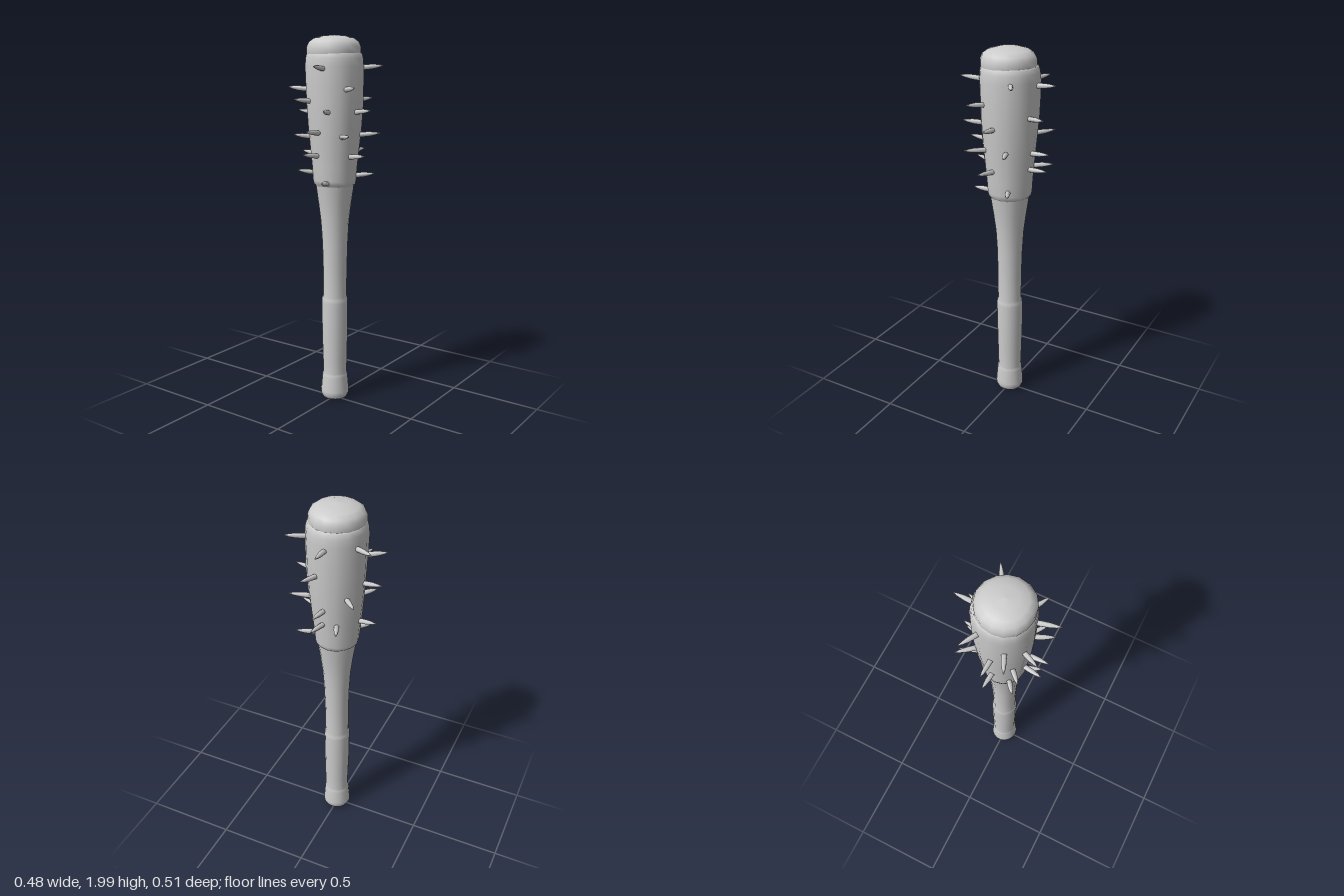
import * as THREE from 'three';

const wood = new THREE.MeshStandardMaterial({ color: 0xcccccc });
wood.name = 'plain grey';

const CX = 0.002, CZ = -0.005; // axis of the club

const lathe = (pairs, sides) =>
  new THREE.LatheGeometry(pairs.map(([r, y]) => new THREE.Vector2(r, y)), sides);

function part(name, geometry) {
  const mesh = new THREE.Mesh(geometry, wood);
  mesh.name = name;
  return mesh;
}

// Slightly uneven, hand-carved surface
function carve(geometry, amount) {
  const p = geometry.attributes.position;
  for (let i = 0; i < p.count; i++) {
    const x = p.getX(i), y = p.getY(i), z = p.getZ(i);
    const a = Math.atan2(x, z);
    const s = 1 + amount * Math.sin(3 * a + y * 9) + amount * 0.6 * Math.cos(5 * a - y * 14);
    p.setXYZ(i, x * s, y, z * s);
  }
  return geometry;
}

// Spike tips: x, height, z
const spikeTips = [
  [-0.224, 1.83, -0.118], [0.056, 1.84, 0.254], [0.219, 1.845, -0.134], [-0.005, 1.83, -0.257],
  [-0.222, 1.735, 0.104], [0.212, 1.735, 0.123],
  [-0.1, 1.675, 0.214], [0.087, 1.675, -0.237],
  [-0.24, 1.61, -0.007], [0.238, 1.62, 0.016], [0.092, 1.62, 0.22],
  [-0.169, 1.56, -0.182],
  [0.23, 1.5, -0.095], [0.199, 1.495, 0.152], [-0.005, 1.515, 0.236],
  [0.025, 1.485, -0.241], [-0.156, 1.49, 0.145],
  [-0.04, 1.395, 0.218], [-0.22, 1.39, -0.015], [0.228, 1.39, 0.055],
  [0.04, 1.4, -0.237], [-0.088, 1.4, -0.213],
  [-0.154, 1.3, 0.116], [0.195, 1.285, -0.095], [0.052, 1.25, 0.185],
];

export function createModel() {
  const group = new THREE.Group();
  group.name = 'spikedClub';

  // Handle with flared pommel, grip and tapering neck
  const handle = part('handle', carve(lathe([
    [0, 0.01], [0.05, 0.012], [0.068, 0.02], [0.078, 0.04], [0.078, 0.06], [0.071, 0.14],
    [0.069, 0.155], [0.065, 0.165], [0.067, 0.25], [0.071, 0.42], [0.072, 0.57], [0.071, 0.59],
    [0.065, 0.605], [0.065, 0.75], [0.069, 0.9], [0.076, 1.02], [0.088, 1.12], [0.101, 1.21],
    [0.108, 1.26],
  ], 18), 0.01));

  // Thick striking barrel with a lip at its lower edge
  const barrel = part('barrel', carve(lathe([
    [0.098, 1.215], [0.112, 1.228], [0.117, 1.25], [0.122, 1.32], [0.132, 1.42], [0.142, 1.53],
    [0.15, 1.65], [0.153, 1.75], [0.155, 1.84], [0.152, 1.88], [0.146, 1.905], [0.138, 1.91],
  ], 16), 0.012));

  // Rounded end cap, leaning a little to the front
  const cap = part('endCap', carve(lathe([
    [0.138, 1.89], [0.143, 1.91], [0.142, 1.94], [0.13, 1.965], [0.105, 1.983], [0.06, 1.995],
    [0, 2.0],
  ], 16), 0.012));
  for (const m of [handle, barrel, cap]) {
    m.position.set(CX, 0, CZ);
    group.add(m);
  }
  cap.position.z += 0.006;

  // Curved, pointed spikes set radially into the barrel
  const spikeGeometry = lathe(
    [[0.013, 0], [0.0135, 0.3], [0.0125, 0.55], [0.008, 0.8], [0.003, 0.96], [0, 1]], 7);
  const up = new THREE.Vector3(0, 1, 0);
  const spikes = new THREE.Group();
  spikes.name = 'spikes';
  for (const [x, y, z] of spikeTips) {
    const tip = new THREE.Vector3(x, y, z);
    const rootRadius = 0.1 + 0.03 * Math.min(1, (y - 1.25) / 0.5);
    const k = rootRadius / Math.hypot(x, z);
    const root = new THREE.Vector3(x * k, y - 0.012, z * k);
    const dir = tip.clone().sub(root);
    const spike = part('spike', spikeGeometry);
    spike.scale.y = dir.length();
    spike.position.copy(root);
    spike.quaternion.setFromUnitVectors(up, dir.normalize());
    spikes.add(spike);
  }
  group.add(spikes);
  return group;
}
